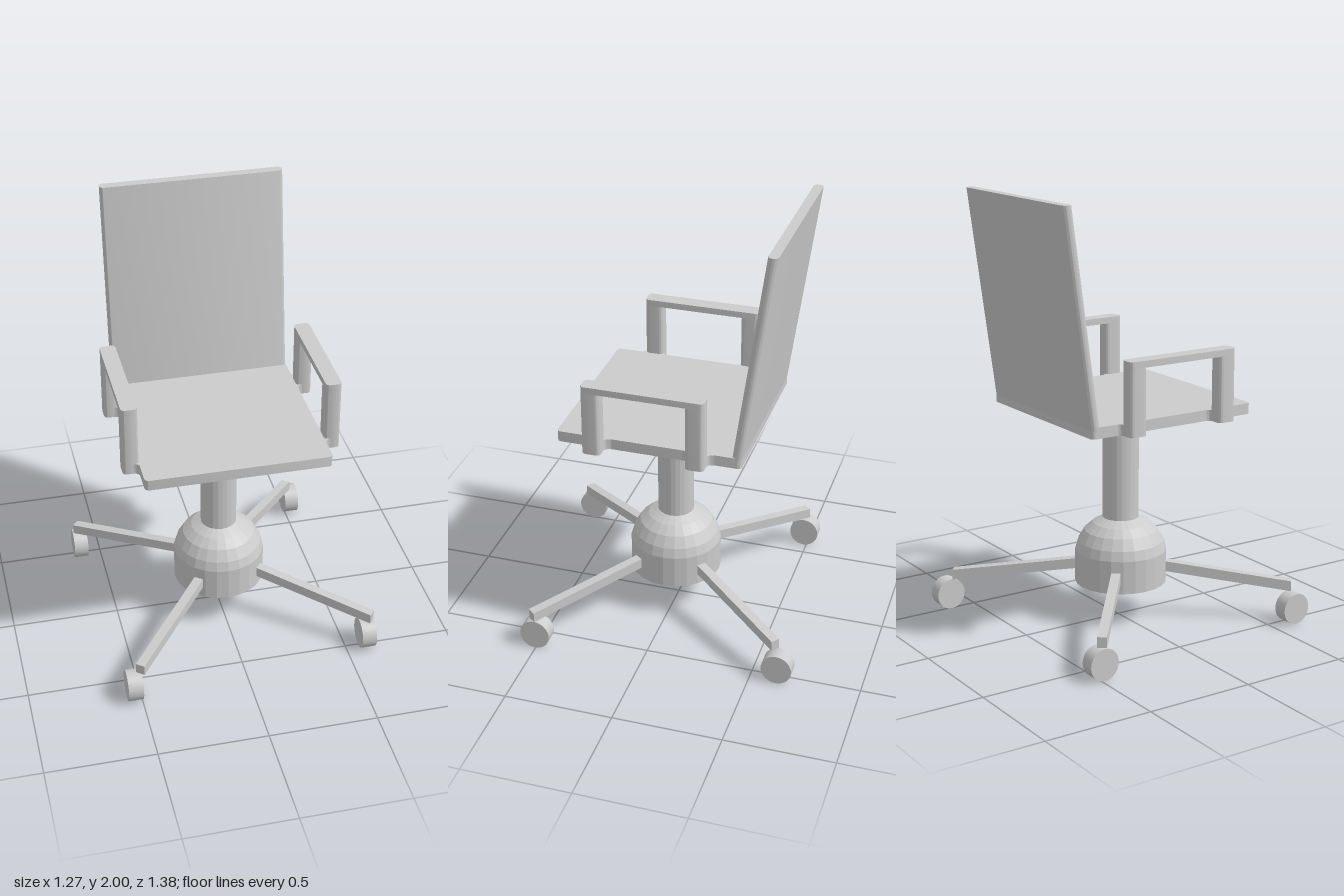
import * as THREE from 'three';
import { toCreasedNormals } from 'three/addons/utils/BufferGeometryUtils.js';

const material = new THREE.MeshStandardMaterial({ color: 0xcccccc });
const faceted = new THREE.MeshStandardMaterial({ color: 0xcccccc, flatShading: true });
const CZ = 0.014; // z of the column axis

// Raise a plan outline (drawn with y = -z) from y0 to y1
function raise(shape, y0, y1) {
  const geo = new THREE.ExtrudeGeometry(shape, { depth: y1 - y0, bevelEnabled: false, curveSegments: 5 });
  return toCreasedNormals(geo.rotateX(-Math.PI / 2).translate(0, y0, 0), 0.6);
}

// Plan rectangle with rounded corners
function roundedPlan(x0, x1, z0, z1, r) {
  const s = new THREE.Shape(), h = Math.PI / 2;
  s.absarc(x1 - r, -z0 - r, r, 0, h);
  s.absarc(x0 + r, -z0 - r, r, h, 2 * h);
  s.absarc(x0 + r, -z1 + r, r, 2 * h, 3 * h);
  s.absarc(x1 - r, -z1 + r, r, 3 * h, 4 * h);
  s.closePath();
  return s;
}

// Flared foot that blends an arm post into the seat edge
function flaredPlan(side, z0, z1) {
  const s = new THREE.Shape(), f = 0.03;
  s.moveTo(side * 0.41, -z0 + f);
  s.lineTo(side * 0.42, -z0 + f);
  s.quadraticCurveTo(side * 0.423, -z0, side * 0.447, -z0);
  s.lineTo(side * 0.447, -z1);
  s.quadraticCurveTo(side * 0.423, -z1, side * 0.42, -z1 - f);
  s.lineTo(side * 0.41, -z1 - f);
  s.closePath();
  return s;
}

export function createModel() {
  const model = new THREE.Group();
  const add = (name, geo, mat = material, parent = model) => {
    const mesh = new THREE.Mesh(geo, mat);
    mesh.name = name;
    parent.add(mesh);
    return mesh;
  };

  // Seat and backrest; the backrest leans by shearing
  add('seat', raise(roundedPlan(-0.422, 0.42, -0.408, 0.436, 0.02), 1, 1.05));
  const lean = new THREE.Matrix4().set(1, 0, 0, 0, 0, 1, 0, 0, 0, -0.139, 1, 0.139, 0, 0, 0, 1);
  const back = raise(roundedPlan(-0.422, 0.42, -0.403, -0.358, 0.02), 1, 2);
  add('backrest', back.applyMatrix4(lean));

  // Armrests: two posts with flared feet and a bar on top
  for (const side of [1, -1]) {
    const arm = new THREE.Group();
    arm.name = side > 0 ? 'leftArmrest' : 'rightArmrest';
    const x0 = side > 0 ? 0.42 : -0.493, x1 = side > 0 ? 0.492 : -0.42;
    for (const [z0, z1] of [[0.21, 0.296], [-0.259, -0.173]]) {
      add('armPost', raise(roundedPlan(x0, x1, z0, z1, 0.02), 1, 1.3), material, arm);
      add('postFoot', raise(flaredPlan(side, z0, z1), 1, 1.05), material, arm);
    }
    add('armBar', raise(roundedPlan(x0, x1, -0.259, 0.296, 0.02), 1.3, 1.33), material, arm);
    model.add(arm);
  }

  // Column and domed hub
  add('column', new THREE.CylinderGeometry(0.084, 0.084, 0.56, 24), faceted).position.set(0, 0.72, CZ);
  const profile = [[0, 0.17], [0.213, 0.17], [0.213, 0.325], [0.2, 0.37], [0.17, 0.42], [0.13, 0.455], [0.084, 0.48], [0, 0.48]]
    .map(([r, y]) => new THREE.Vector2(r, y));
  add('hub', new THREE.LatheGeometry(profile, 24), faceted).position.z = CZ;

  // Four sloping legs, sheared so that their ends stay upright
  const slope = new THREE.Matrix4().set(1, 0, 0, 0, -0.133, 1, 0, 0.275, 0, 0, 1, 0, 0, 0, 0, 1);
  for (let i = 0; i < 4; i++) {
    const geo = new THREE.BoxGeometry(0.697, 0.048, 0.043).translate(0.4485, 0, 0).applyMatrix4(slope);
    const leg = add('leg', geo, faceted);
    leg.rotation.y = -0.683 + i * Math.PI / 2;
    leg.position.z = CZ;
  }

  // Wheels under the leg tips, all rolling forward
  for (const [x, z] of [[0.596, 0.503], [-0.532, 0.616], [-0.602, -0.485], [0.525, -0.623]]) {
    const geo = new THREE.CylinderGeometry(0.07, 0.07, 0.068, 32).rotateZ(Math.PI / 2);
    add('wheel', toCreasedNormals(geo, 0.6)).position.set(x, 0.0725, z);
  }
  model.children.filter((c) => c.name === 'wheel').forEach((w) => w.scale.set(1, 1.035, 1));
  return model;
}
